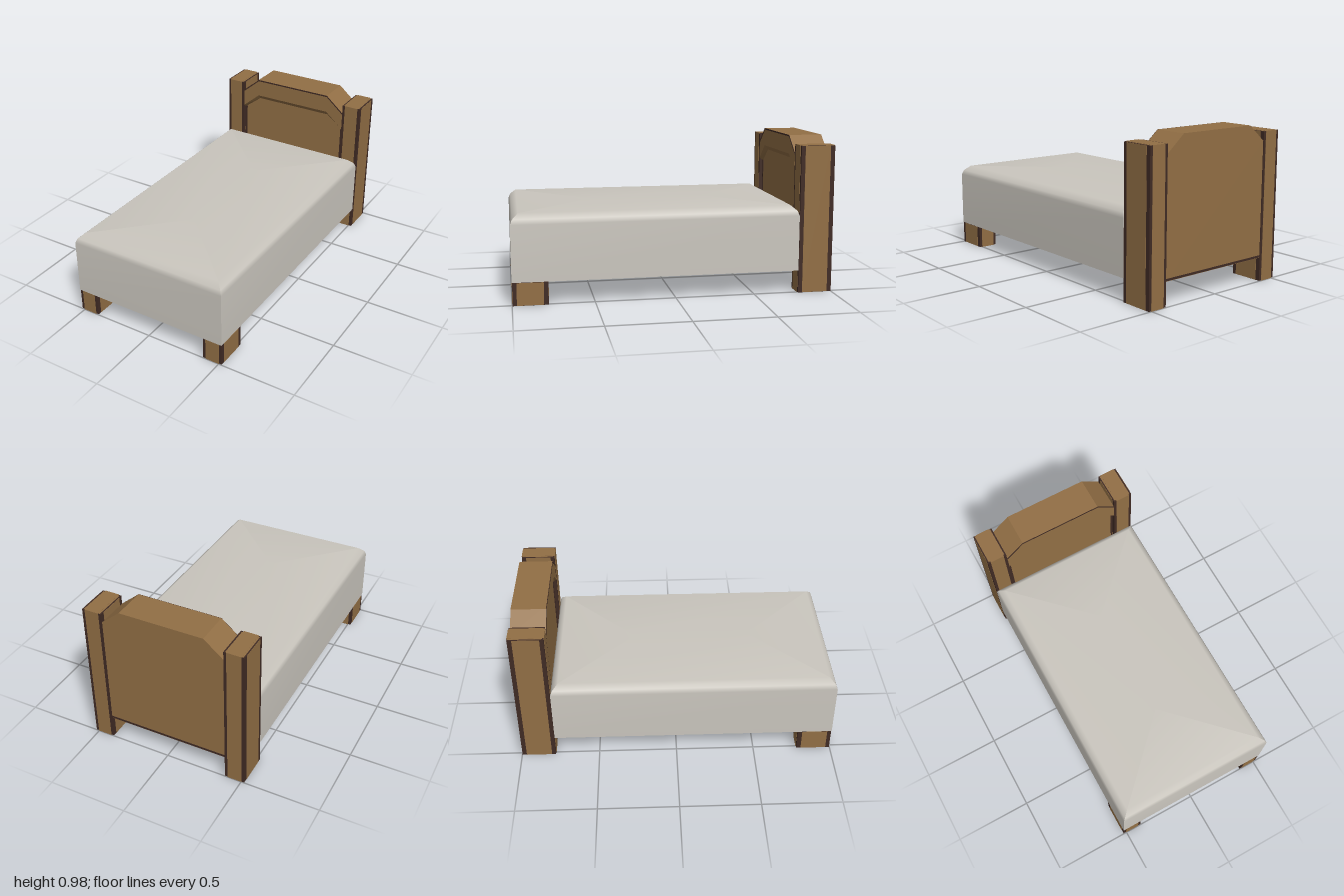
import * as THREE from 'three';

const wood = new THREE.MeshStandardMaterial({ color: 0x926f45 });
wood.name = 'wood';
const darkWood = new THREE.MeshStandardMaterial({ color: 0x402b24 });
darkWood.name = 'dark wood edges';
const linen = new THREE.MeshStandardMaterial({ color: 0xcac6be, side: THREE.DoubleSide });
linen.name = 'linen';

function box(name, material, x0, x1, y0, y1, z0, z1) {
  const mesh = new THREE.Mesh(new THREE.BoxGeometry(x1 - x0, y1 - y0, z1 - z0), material);
  mesh.position.set((x0 + x1) / 2, (y0 + y1) / 2, (z0 + z1) / 2);
  mesh.name = name;
  return mesh;
}

// Square timber: dark core whose corners show between thin lighter plates
function timber(name, side, height, z0, z1) {
  const group = new THREE.Group();
  group.name = name;
  const [x0, x1] = side > 0 ? [0.39, 0.522] : [-0.522, -0.39];
  const t = 0.002, e = 0.02;
  group.add(
    box('darkCore', darkWood, x0 + t, x1 - t, t, height - t, z0 + t, z1 - t),
    box('frontAndBackPlates', wood, x0 + e, x1 - e, 0, height, z0, z1),
    box('sidePlates', wood, x0, x1, 0.003, height - 0.003, z0 + 0.03, z1 - 0.027),
    box('endPlates', wood, x0 + 0.01, x1 - 0.012, 0.001, height - 0.001, z0 + 0.005, z1 - 0.01),
  );
  return group;
}

function plate(name, material, points, z0, z1) {
  const shape = new THREE.Shape(points.map(([x, y]) => new THREE.Vector2(x, y)));
  const geometry = new THREE.ExtrudeGeometry(shape, { depth: z1 - z0, bevelEnabled: false });
  geometry.translate(0, 0, z0);
  const mesh = new THREE.Mesh(geometry, material);
  mesh.name = name;
  return mesh;
}

// Left-to-right crest line with clipped corners
const crest = (low, high) => [[-0.39, low], [-0.27, high], [0.27, high], [0.39, low]];

function headboard() {
  const group = new THREE.Group();
  group.name = 'headboard';
  const front = -0.782, recess = -0.807, back = -0.996;
  const top = crest(0.875, 0.976), rimUnder = crest(0.755, 0.856), panelTop = crest(0.735, 0.826);
  group.add(plate('backPanel', wood, [[-0.39, 0.15], ...top, [0.39, 0.15]], back, recess));
  group.add(plate('topRim', wood, [...top, ...rimUnder.slice().reverse()], recess, front));
  group.add(plate('rimEdge', darkWood, [...top, ...crest(0.865, 0.967).reverse()], front, front + 0.002));
  group.add(box('bottomEdge', darkWood, -0.39, 0.39, 0.152, 0.166, back - 0.001, back + 0.004));
  for (const s of [-1, 1]) {
    const xs = [s * 0.376, s * 0.39].sort((a, b) => a - b);
    group.add(box('panelSideEdge', darkWood, xs[0], xs[1], 0.16, 0.74, recess, recess + 0.003));
  }
  // Slanted lip between rim and recessed panel
  const positions = [];
  for (let i = 0; i < 3; i++) {
    const A = [...rimUnder[i], front], B = [...rimUnder[i + 1], front];
    const a = [...panelTop[i], recess], b = [...panelTop[i + 1], recess];
    positions.push(...A, ...a, ...b, ...A, ...b, ...B);
  }
  const geometry = new THREE.BufferGeometry();
  geometry.setAttribute('position', new THREE.Float32BufferAttribute(positions, 3));
  geometry.computeVertexNormals();
  const lip = new THREE.Mesh(geometry, wood);
  lip.name = 'slantedLip';
  group.add(lip);
  return group;
}

// Hollow cover: four mitred sides, each sweeping up over a rounded edge
function bedCover() {
  const group = new THREE.Group();
  group.name = 'bedCover';
  const hx = 0.522, hz = 0.89;
  const profile = [[0, 0.145], [0, 0.495], [0.012, 0.525], [0.048, 0.557], [hx, 0.557]]; // inset, height
  const corners = [[-1, 1], [1, 1], [1, -1], [-1, -1]];
  corners.forEach((c, k) => {
    const d = corners[(k + 1) % 4];
    const positions = [], index = [];
    profile.forEach(([inset, y], r) => {
      for (const [sx, sz] of [c, d]) positions.push(sx * (hx - inset), y, sz * (hz - inset));
      if (r > 0) {
        const i = 2 * r - 2;
        index.push(i, i + 1, i + 3, i, i + 3, i + 2);
      }
    });
    const geometry = new THREE.BufferGeometry();
    geometry.setAttribute('position', new THREE.Float32BufferAttribute(positions, 3));
    geometry.setIndex(index);
    geometry.computeVertexNormals();
    const mesh = new THREE.Mesh(geometry, linen);
    mesh.name = ['footSide', 'leftSide', 'headSide', 'rightSide'][k];
    group.add(mesh);
  });
  group.position.z = 0.11;
  return group;
}

export function createModel() {
  const model = new THREE.Group();
  model.name = 'bed';
  for (const side of [-1, 1]) {
    model.add(timber('headPost', side, 0.932, -1, -0.78));
    model.add(timber('footLeg', side, 0.145, 0.78, 0.999));
  }
  model.add(headboard(), bedCover());
  return model;
}
